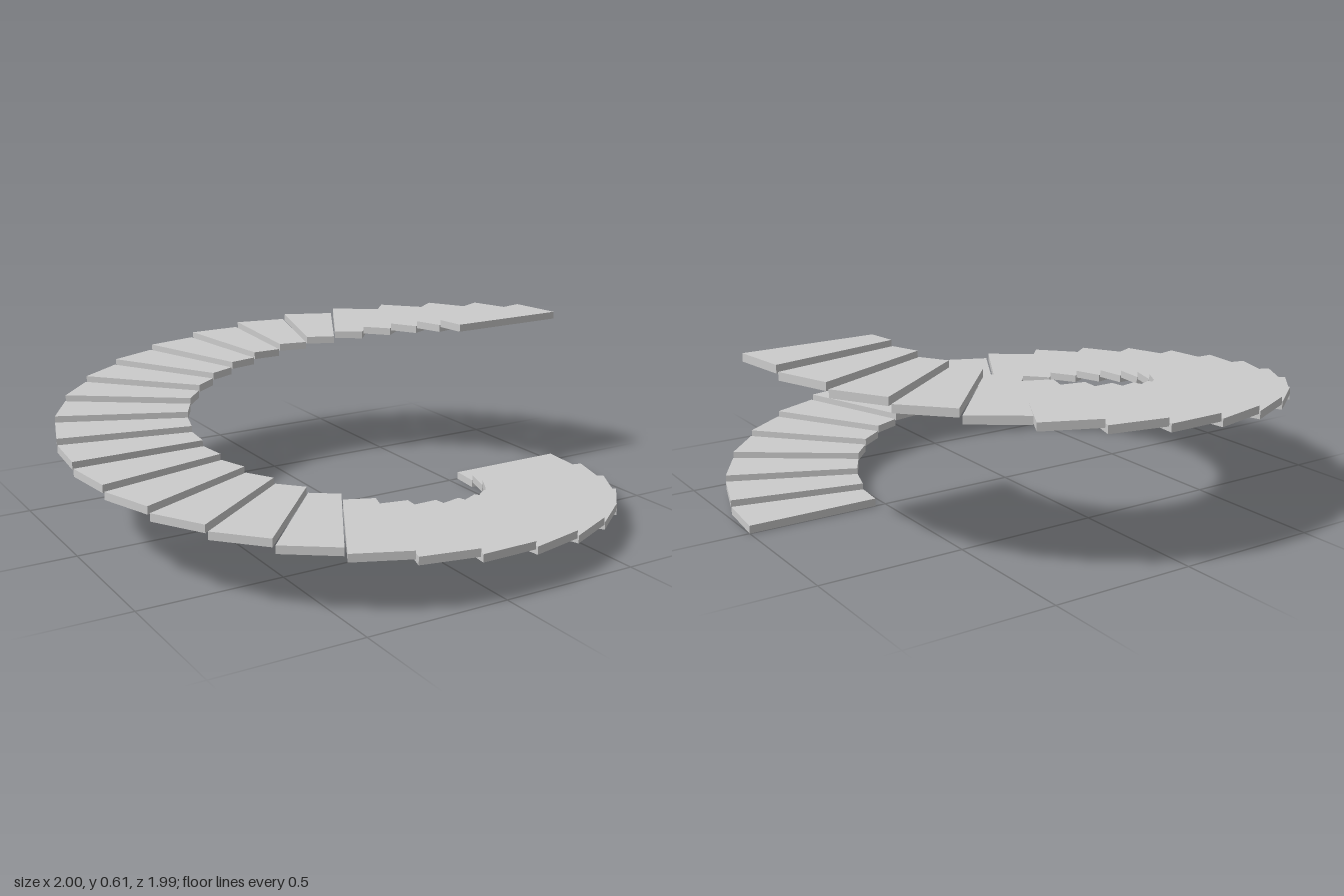
import * as THREE from 'three';

const STEPS = 30;
const PITCH = 0.209;     // angle from one tread to the next
const SPAN = 0.2;        // angle covered by one tread
const INNER = 0.538;
const OUTER = 1;
const RISE = 0.02;
const THICKNESS = 0.027;

// Wedge-shaped slab with straight inner and outer edges, bottom at y = 0
function treadGeometry() {
  const c = Math.cos(SPAN), s = Math.sin(SPAN);
  const shape = new THREE.Shape([
    new THREE.Vector2(INNER, 0),
    new THREE.Vector2(OUTER, 0),
    new THREE.Vector2(OUTER * c, OUTER * s),
    new THREE.Vector2(INNER * c, INNER * s),
  ]);
  const geometry = new THREE.ExtrudeGeometry(shape, { depth: THICKNESS, bevelEnabled: false });
  geometry.rotateX(Math.PI / 2);
  geometry.translate(0, THICKNESS, 0);
  return geometry;
}

export function createModel() {
  const group = new THREE.Group();
  group.name = 'spiralStaircase';
  const material = new THREE.MeshStandardMaterial({ color: 0xcccccc, flatShading: true });
  const geometry = treadGeometry();

  // Treads climb one full turn, starting at +x and passing the front first
  for (let i = 0; i < STEPS; i++) {
    const tread = new THREE.Mesh(geometry, material);
    tread.name = `tread${i + 1}`;
    tread.rotation.y = -i * PITCH;
    tread.position.y = i * RISE;
    group.add(tread);
  }
  return group;
}
